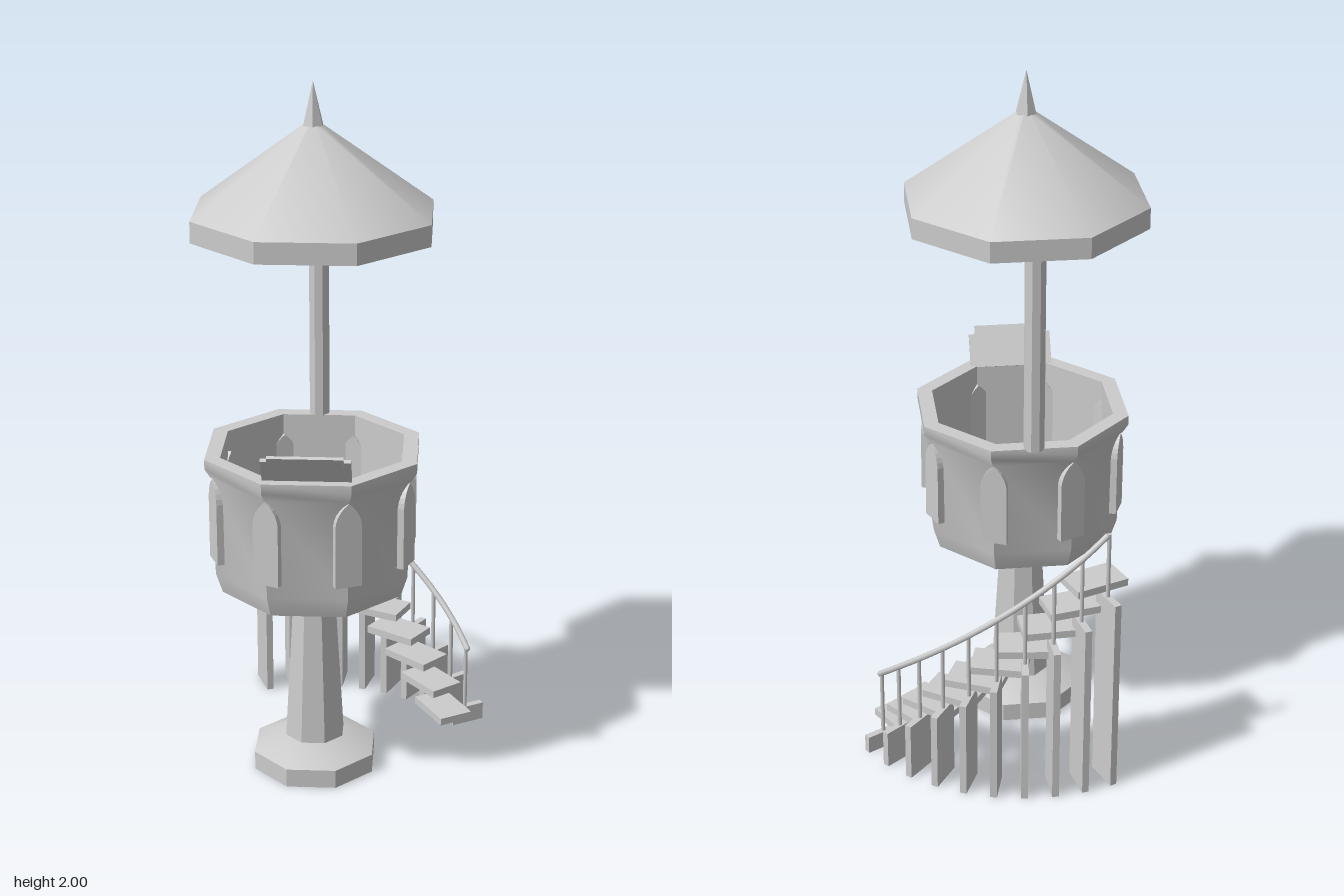
import * as THREE from 'three';
import { toCreasedNormals } from 'three/addons/utils/BufferGeometryUtils.js';

const AXIS_X = -0.088, AXIS_Z = 0.12; // vertical axis of basket, pedestal and stair
const STEPS = 10, RISE = 0.0613;

export function createModel() {
  const model = new THREE.Group();
  const stone = new THREE.MeshStandardMaterial({ color: 0xcccccc });
  stone.name = 'greyStone';

  const pulpit = new THREE.Group();
  pulpit.name = 'pulpit';
  pulpit.position.set(AXIS_X, 0, AXIS_Z);
  model.add(pulpit);

  function add(parent, name, geometry, x = 0, y = 0, z = 0) {
    const mesh = new THREE.Mesh(geometry, stone);
    mesh.name = name;
    mesh.position.set(x, y, z);
    parent.add(mesh);
    return mesh;
  }

  // Octagonal solid from a profile of [apothem, height], with flats facing front and sides
  function octagon(profile) {
    const k = 1 / Math.cos(Math.PI / 8);
    const points = profile.map(([r, y]) => new THREE.Vector2(r * k, y));
    return toCreasedNormals(new THREE.LatheGeometry(points, 8, Math.PI / 8), 0.55);
  }

  // Pedestal
  add(pulpit, 'pedestalBase', octagon([[0, 0], [0.17, 0], [0.17, 0.055], [0.085, 0.095], [0, 0.095]]));
  add(pulpit, 'pedestalColumn', octagon([[0.082, 0.09], [0.058, 0.53]]));
  add(pulpit, 'pedestalFunnel', octagon([[0, 0.515], [0.07, 0.515], [0.172, 0.582]]));

  // Hollow basket with its rim
  add(pulpit, 'basket', octagon([
    [0, 0.58], [0.25, 0.58], [0.268, 0.64], [0.27, 0.93], [0.277, 0.93], [0.292, 0.957],
    [0.292, 0.985], [0.25, 0.985], [0.25, 0.62], [0, 0.62],
  ]));

  // Pointed arch plates on the basket corners
  const arch = new THREE.Shape();
  arch.moveTo(-0.038, 0.68);
  arch.lineTo(0.038, 0.68);
  arch.lineTo(0.038, 0.86);
  arch.quadraticCurveTo(0.034, 0.9, 0, 0.925);
  arch.quadraticCurveTo(-0.034, 0.9, -0.038, 0.86);
  arch.closePath();
  const archGeometry = new THREE.ExtrudeGeometry(arch, { depth: 0.035, bevelEnabled: false, curveSegments: 5 });
  archGeometry.translate(0, 0, 0.26);
  for (let i = 0; i < 8; i++) {
    add(pulpit, 'archPlate', archGeometry).rotation.y = (i + 0.5) * Math.PI / 4;
  }

  // Book rest leaning out over the front rim
  const bookRest = new THREE.Group();
  bookRest.name = 'bookRest';
  bookRest.position.set(0, 0.98, 0.253);
  bookRest.rotation.x = 0.61;
  add(bookRest, 'restBoard', new THREE.BoxGeometry(0.242, 0.1, 0.011), 0, 0.05, 0);
  add(bookRest, 'restBackBoard', new THREE.BoxGeometry(0.204, 0.07, 0.009), 0, 0.092, 0.009);
  pulpit.add(bookRest);

  // Canopy, its finial and the post behind the basket
  add(pulpit, 'canopy', octagon([
    [0, 1.585], [0.322, 1.585], [0.322, 1.645], [0.02, 1.885], [0, 1.885],
  ]), 0, 0, -0.06);
  const finial = new THREE.CylinderGeometry(0, 0.03, 0.12, 6);
  add(pulpit, 'finial', toCreasedNormals(finial, 0.5), 0, 1.94, -0.06);
  const post = new THREE.CylinderGeometry(0.03, 0.03, 0.61, 8);
  post.rotateY(Math.PI / 8);
  add(pulpit, 'canopyPost', toCreasedNormals(post, 0.5), 0, 1.285, -0.277);

  // Curved stair: each step group is turned so that its local -z points outward
  const stair = new THREE.Group();
  stair.name = 'stair';
  pulpit.add(stair);
  const angleAt = (i) => THREE.MathUtils.degToRad(60 - 9.05 * i);
  const railRadius = 0.506;
  for (let i = 0; i < STEPS; i++) {
    const step = new THREE.Group();
    step.name = 'step';
    step.rotation.y = -angleAt(i);
    const base = 0.053 + RISE * i;
    add(step, 'tread', new THREE.BoxGeometry(0.16, 0.022, 0.104), 0, base + 0.011, -0.43);
    add(step, 'supportFin', new THREE.BoxGeometry(0.02, base, 0.104), 0, base / 2, -0.512);
    add(step, 'baluster', new THREE.CylinderGeometry(0.006, 0.006, 0.2, 8), 0, base + 0.1, -railRadius);
    stair.add(step);
  }

  // Handrail following the stair
  const railPoints = [];
  for (let i = -0.1; i <= STEPS - 0.85; i += 0.5) {
    const a = angleAt(i);
    railPoints.push(new THREE.Vector3(
      Math.sin(a) * railRadius, 0.253 + RISE * i, -Math.cos(a) * railRadius));
  }
  const railPath = new THREE.CatmullRomCurve3(railPoints);
  add(stair, 'handrail', new THREE.TubeGeometry(railPath, 48, 0.009, 8));
  for (const end of [railPoints[0], railPoints[railPoints.length - 1]]) {
    add(stair, 'handrailEnd', new THREE.SphereGeometry(0.009, 8, 6), end.x, end.y, end.z);
  }

  return model;
}
